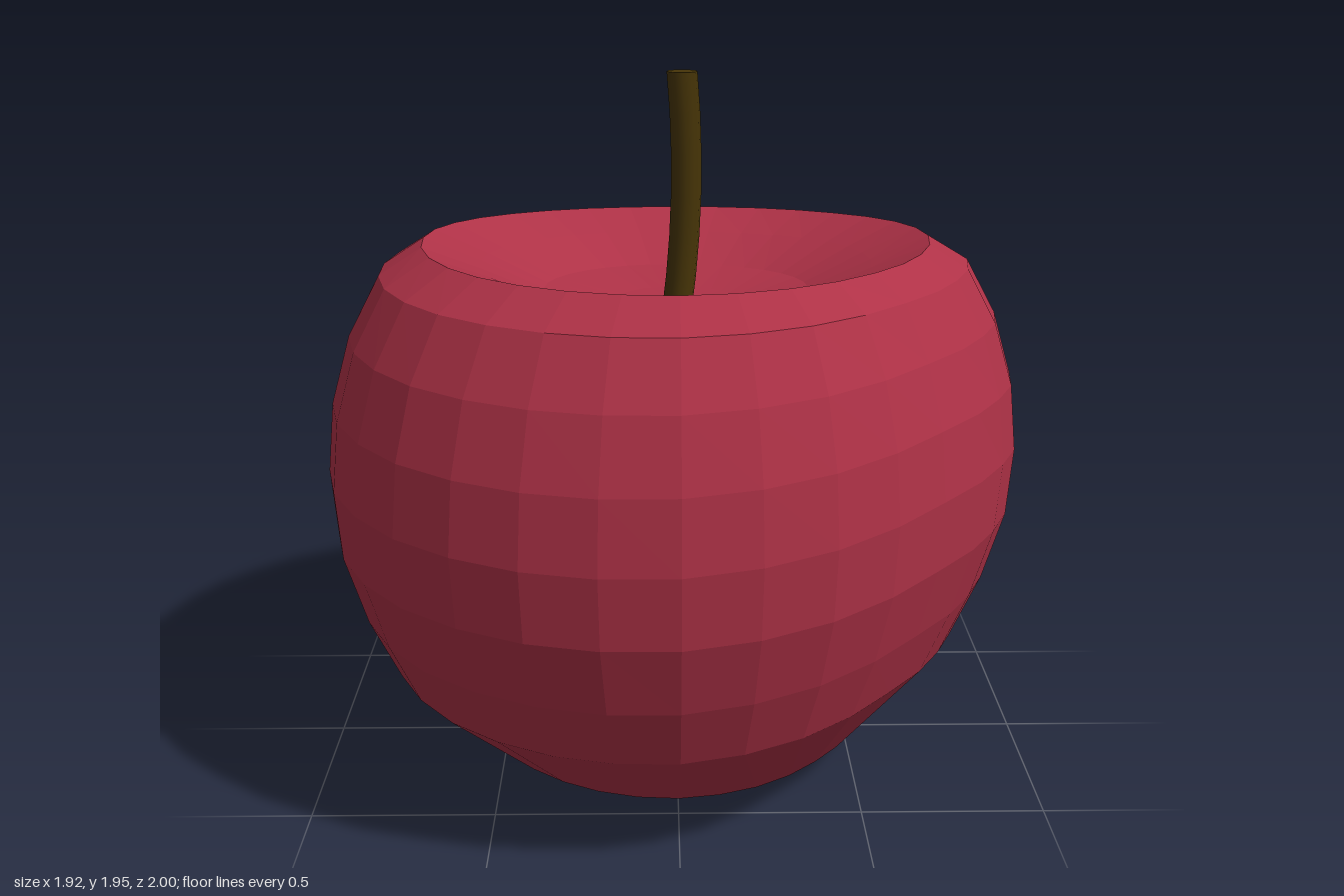
import * as THREE from 'three';

const red = new THREE.MeshStandardMaterial({ color: 0xaf3247, flatShading: true });
red.name = 'apple red';
const brown = new THREE.MeshStandardMaterial({ color: 0x463407 });
brown.name = 'stem brown';

// Profile from the base dimple, up the side and down into the top bowl:
// radius, height, share of the uneven girth, share of the bump, share of the back dip, z shift
const profile = [
  [0, 0.16, 0, 0, 0, 0.015],
  [0.19, 0.045, 0, 0, 0, 0.015],
  [0.38, 0, 0.3, 0, 0, 0.015],
  [0.565, 0.09, 0.7, 0.1, 0, 0.015],
  [0.84, 0.33, 1, 0.85, 0, 0.005],
  [0.925, 0.505, 1, 1, 0, 0],
  [0.985, 0.7, 1, 1, 0.1, 0],
  [1, 0.89, 1, 1, 0.2, 0],
  [0.98, 1.08, 1, 0.85, 0.35, 0],
  [0.925, 1.265, 1, 0.55, 0.4, 0],
  [0.83, 1.427, 0.8, 0.25, 0.5, 0.005],
  [0.7, 1.5, 0.3, 0.08, 1, 0.01],
  [0.535, 1.435, 0, 0, 0.6, 0.01],
  [0.365, 1.36, 0, 0, 0.3, 0.025],
  [0.18, 1.325, 0, 0, 0, 0.04],
  [0, 1.31, 0, 0, 0, 0.04],
];

// Girth every 22.5 degrees, starting at +x and turning towards +z
const girth = [0.96, 0.932, 0.932, 0.969, 0.995, 0.998, 0.997, 0.983,
  0.96, 0.95, 0.955, 0.982, 1, 0.98, 0.935, 0.955];

function girthAt(angle) {
  const t = (angle / (Math.PI * 2)) * 16 + 32;
  const i = Math.floor(t + 1e-6);
  return THREE.MathUtils.lerp(girth[i % 16], girth[(i + 1) % 16], t - i);
}

function createFruit() {
  const points = profile.map(([r, y]) => new THREE.Vector2(r, y));
  const geometry = new THREE.LatheGeometry(points, 32);
  const pos = geometry.attributes.position;
  for (let i = 0; i < pos.count; i++) {
    const [r, y, uneven, bump, dip, dz] = profile[i % profile.length];
    const column = Math.floor(i / profile.length);
    const angle = Math.PI / 2 - (column / 32) * Math.PI * 2;
    const radius = r * (1 + uneven * (girthAt(angle) - 1));
    // the side swells upward towards the front left, and the rim dips at the back
    let off = angle - 0.65;
    off = Math.atan2(Math.sin(off), Math.cos(off));
    const lift = 0.075 * bump * Math.exp(-((off / 0.7) ** 2));
    const drop = 0.045 * dip * Math.max(0, -Math.sin(angle)) ** 1.5;
    pos.setXYZ(i, radius * Math.cos(angle), y + lift - drop, radius * Math.sin(angle) + dz);
  }
  geometry.computeVertexNormals();
  const mesh = new THREE.Mesh(geometry, red);
  mesh.name = 'fruit';
  return mesh;
}

function createStem() {
  const bottom = 1.29, top = 1.95;
  const geometry = new THREE.CylinderGeometry(0.041, 0.041, top - bottom, 12, 6);
  geometry.translate(0, (top + bottom) / 2, 0.042);
  // bow the stem sideways
  const pos = geometry.attributes.position;
  for (let i = 0; i < pos.count; i++) {
    const t = (pos.getY(i) - bottom) / (top - bottom);
    pos.setX(i, pos.getX(i) + 0.015 * t + 0.075 * t * (1 - t));
  }
  const mesh = new THREE.Mesh(geometry, brown);
  mesh.name = 'stem';
  return mesh;
}

export function createModel() {
  const group = new THREE.Group();
  group.name = 'apple';
  group.add(createFruit(), createStem());
  return group;
}
